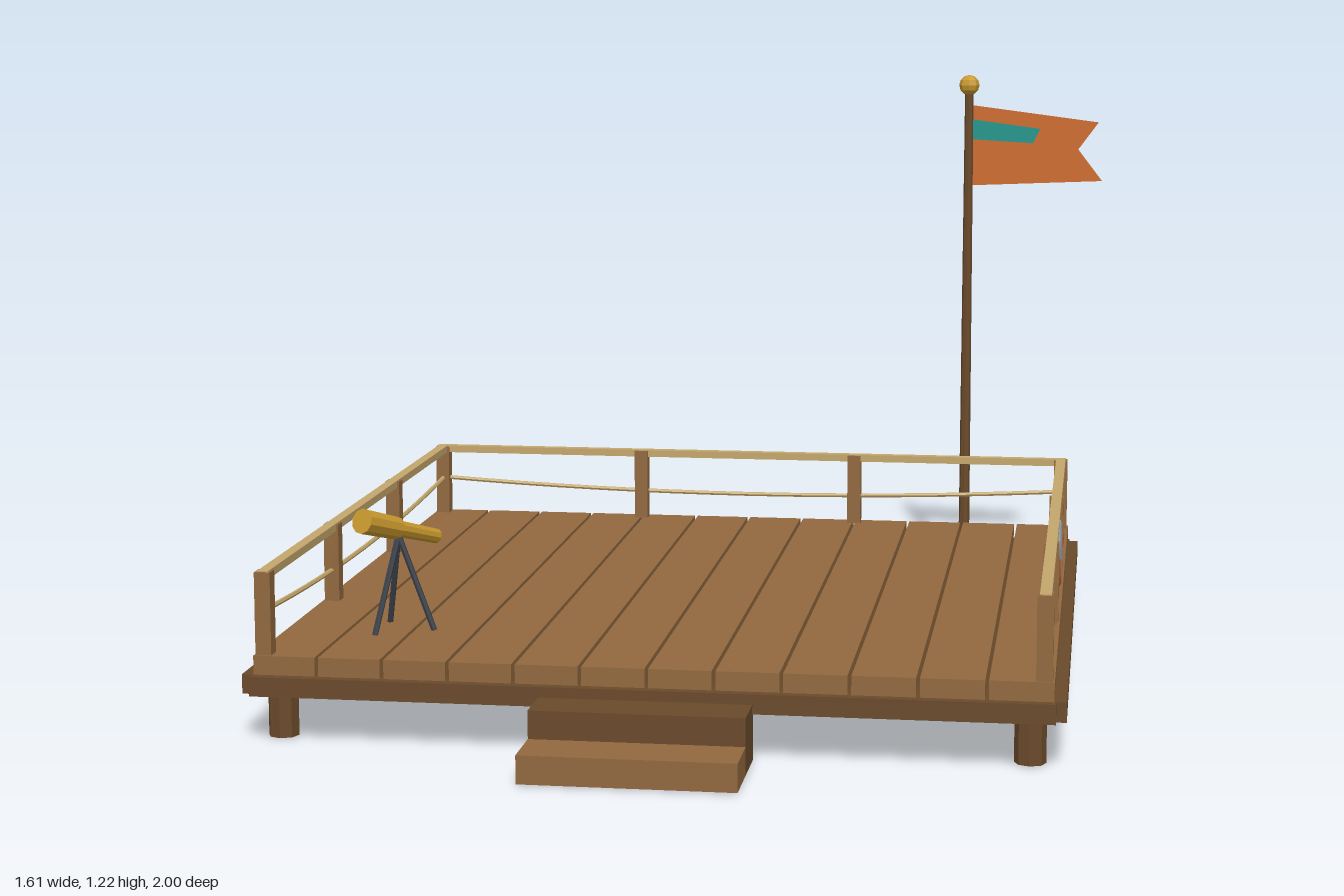
import * as THREE from 'three';

const mat = (name, color, extra = {}) => {
  const m = new THREE.MeshStandardMaterial({ color, flatShading: true, ...extra });
  m.name = name;
  return m;
};

export function createModel() {
  const plankWood = mat('plank wood', 0x92693f);
  const darkWood = mat('dark wood', 0x6a4a2b);
  const ropeTan = mat('rope tan', 0xc4a76c);
  const brass = mat('brass', 0xc99a2e);
  const stone = mat('stone grey', 0x8b9299);
  const iron = mat('dark iron', 0x3b414b);
  const orange = mat('orange', 0xcd6b2a);
  const cloth = mat('orange cloth', 0xcd6b2a, { side: THREE.DoubleSide });
  const teal = mat('teal cloth', 0x1f958d, { side: THREE.DoubleSide });

  const model = new THREE.Group();
  model.name = 'lookoutDeck';
  const add = (name, geo, material, x = 0, y = 0, z = 0, parent = model) => {
    const m = new THREE.Mesh(geo, material);
    m.name = name;
    m.position.set(x, y, z);
    parent.add(m);
    return m;
  };
  const box = (name, material, w, h, d, x, y, z, parent) =>
    add(name, new THREE.BoxGeometry(w, h, d), material, x, y, z, parent);
  // Cylinder running from point a (radius ra) to point b (radius rb)
  const rod = (name, material, a, b, ra, rb, sides, parent) => {
    const dir = b.clone().sub(a);
    const mid = a.clone().add(b).multiplyScalar(0.5);
    const m = add(name, new THREE.CylinderGeometry(rb, ra, dir.length(), sides), material, mid.x, mid.y, mid.z, parent);
    m.quaternion.setFromUnitVectors(new THREE.Vector3(0, 1, 0), dir.normalize());
    return m;
  };
  const V = (x, y, z) => new THREE.Vector3(x, y, z);

  // Deck: planks over a slab with rim beams and nine round legs
  const deck = new THREE.Group();
  deck.name = 'deck';
  deck.position.set(-0.023, 0, 0.009);
  model.add(deck);
  const size = 1.525, pitch = size / 12;
  for (let i = 0; i < 12; i++) {
    box('plank', plankWood, pitch - 0.007, 0.038, size, (i - 5.5) * pitch, 0.146, 0, deck);
  }
  box('subfloor', darkWood, size, 0.028, size, 0, 0.114, 0, deck);
  for (const s of [-1, 1]) {
    box('rimBeamCross', darkWood, size, 0.038, 0.04, 0, 0.109, s * 0.762, deck);
    box('rimBeamSide', darkWood, 0.04, 0.038, size, s * 0.762, 0.109, 0, deck);
  }
  for (const x of [-1, 0, 1]) for (const z of [-1, 0, 1]) {
    add('deckLeg', new THREE.CylinderGeometry(0.03, 0.03, 0.105, 8), darkWood, x * 0.715, 0.0525, z * 0.715, deck);
  }

  // Entry steps
  box('upperStep', darkWood, 0.405, 0.108, 0.11, -0.023, 0.054, 0.833);
  box('lowerStep', plankWood, 0.405, 0.054, 0.112, -0.023, 0.027, 0.944);

  // Railing on the back and both sides: posts, top rail, sagging rope
  const railing = new THREE.Group();
  railing.name = 'railing';
  railing.position.set(-0.023, 0, 0.012);
  model.add(railing);
  const R = 0.74, mid = 0.255;
  const post = (x, z) => box('railPost', plankWood, 0.031, 0.162, 0.031, x, 0.245, z, railing);
  for (const x of [-R, -mid, mid, R]) post(x, -R);
  for (const x of [-R, R]) for (const z of [-mid, mid, R]) post(x, z);
  const rope = (a, b) => {
    const pts = [];
    for (let i = 0; i <= 12; i++) {
      const t = i / 12;
      const p = a.clone().lerp(b, t);
      p.y -= 0.024 * 4 * t * (1 - t);
      pts.push(p);
    }
    add('sagRope', new THREE.TubeGeometry(new THREE.CatmullRomCurve3(pts), 16, 0.005, 6), ropeTan, 0, 0, 0, railing);
  };
  box('topRail', ropeTan, 2 * R + 0.022, 0.016, 0.022, 0, 0.32, -R, railing);
  rope(V(-R, 0.25, -R), V(R, 0.25, -R));
  for (const x of [-R, R]) {
    box('topRail', ropeTan, 0.022, 0.016, 2 * R + 0.022, x, 0.32, 0, railing);
    rope(V(x, 0.25, -R), V(x, 0.25, R));
  }

  // Life ring in alternating quarters
  const ring = new THREE.Group();
  ring.name = 'lifeRing';
  ring.position.set(0.722, 0.253, 0.01);
  ring.rotation.y = Math.PI / 2;
  model.add(ring);
  for (let i = 0; i < 4; i++) {
    const q = add('ringQuarter', new THREE.TorusGeometry(0.061, 0.0125, 8, 5, Math.PI / 2), i % 2 ? stone : orange, 0, 0, 0, ring);
    q.rotation.z = i * Math.PI / 2;
  }

  // Spyglass on a tripod
  const spyglass = new THREE.Group();
  spyglass.name = 'spyglass';
  model.add(spyglass);
  const apex = V(-0.56, 0.355, 0.515);
  for (let i = 0; i < 3; i++) {
    const a = i * Math.PI * 2 / 3;
    rod('tripodLeg', iron, V(apex.x + 0.07 * Math.cos(a), 0.165, apex.z + 0.07 * Math.sin(a)), apex, 0.006, 0.006, 6, spyglass);
  }
  const front = V(-0.607, 0.4, 0.614), back = V(-0.508, 0.335, 0.416);
  const along = t => front.clone().lerp(back, t);
  rod('frontBarrel', brass, along(0), along(0.45), 0.025, 0.023, 10, spyglass);
  rod('rearBarrel', brass, along(0.4), along(1), 0.017, 0.015, 10, spyglass);

  // Flagpole with ball finial and swallow-tailed flag
  const px = 0.485, pz = -0.875;
  add('flagpole', new THREE.CylinderGeometry(0.01, 0.013, 1.18, 8), darkWood, px, 0.59, pz);
  add('finial', new THREE.SphereGeometry(0.024, 8, 6), brass, px, 1.194, pz);
  const flat = pts => new THREE.ShapeGeometry(new THREE.Shape(pts.map(p => new THREE.Vector2(...p))));
  add('flag', flat([[0.49, 0.957], [0.8, 0.97], [0.743, 1.044], [0.79, 1.108], [0.49, 1.147]]), cloth, 0, 0, pz);
  for (const s of [-1, 1]) {
    add('flagStripe', flat([[0.495, 1.066], [0.637, 1.058], [0.653, 1.092], [0.495, 1.113]]), teal, 0, 0, pz + s * 0.002);
  }

  // Stones piled around the pole foot: x, z, length, width, turn
  [
    [0.43, -0.937, 0.06, 0.05, 0.5],
    [0.518, -0.947, 0.057, 0.046, 1.1],
    [0.562, -0.876, 0.06, 0.046, 0],
    [0.512, -0.822, 0.058, 0.042, -0.9],
    [0.425, -0.835, 0.06, 0.05, -0.5],
  ].forEach(([x, z, l, w, turn], i) => {
    const rock = add('baseStone', new THREE.DodecahedronGeometry(1, 0), stone, x, 0.026, z);
    rock.scale.set(l, 0.028 + 0.002 * (i % 2), w);
    rock.rotation.y = turn;
  });

  return model;
}
